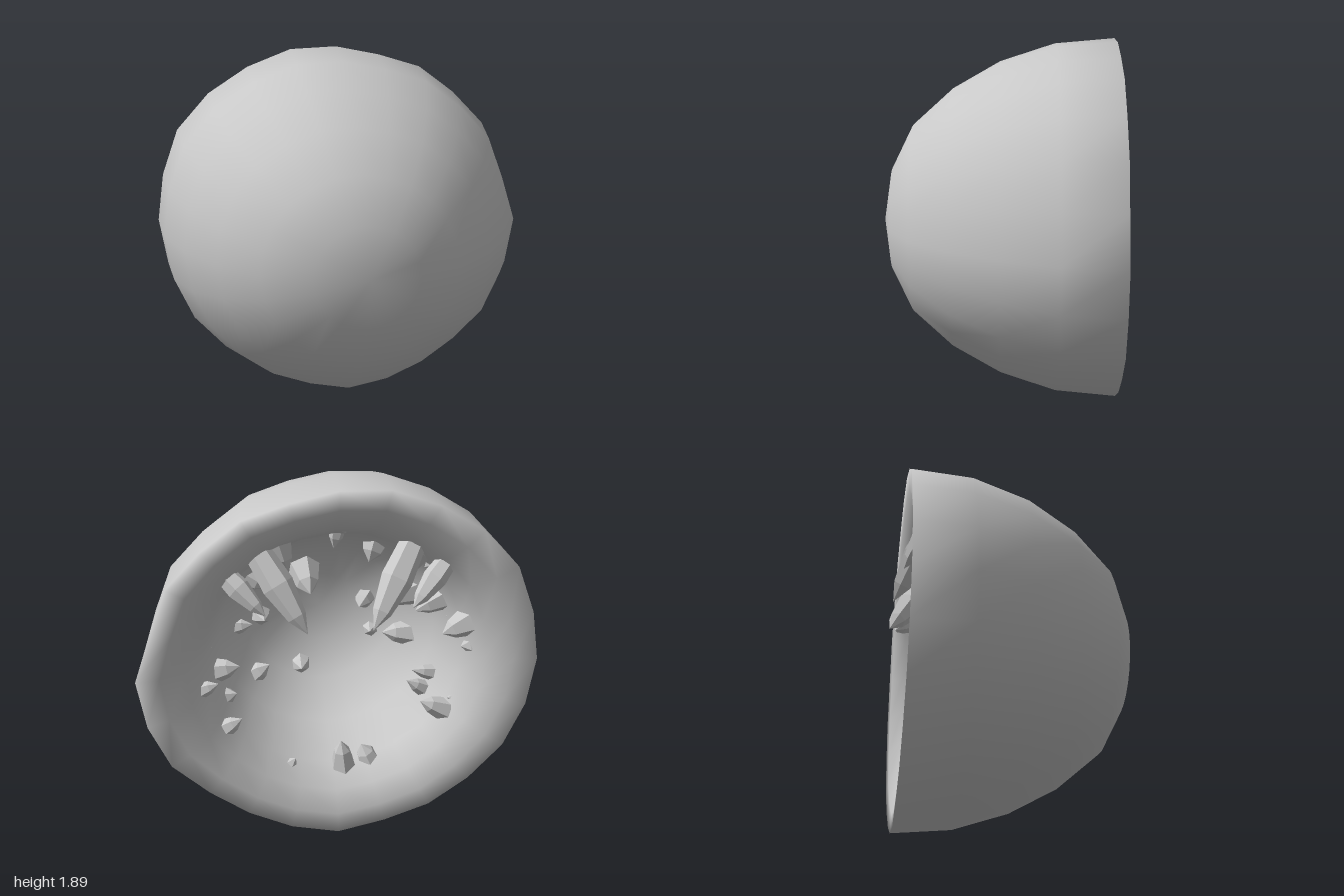
import * as THREE from 'three';

// Uneven outline of the stone, one radius per segment around the z axis
const OUTLINE = [1.0, 0.953, 0.965, 0.94, 0.94, 0.92, 0.94, 0.965, 0.973, 0.995, 1.015, 1.0,
  1.0, 0.99, 0.98, 0.955, 0.945, 0.93, 0.95, 0.93, 0.92, 0.93, 0.975, 0.987];

// [radius factor, z, share of the uneven outline, sideways shift]: dome, rim, then cavity
const PROFILE = [
  [0, 0.63, 0, -0.02], [0.28, 0.59, 0.3, -0.03], [0.52, 0.48, 0.5, -0.04], [0.72, 0.27, 0.7, -0.035],
  [0.87, 0.02, 0.8, -0.03], [0.97, -0.27, 0.9, -0.015], [1, -0.585, 1, 0],
  [0.89, -0.578, 0.8, 0], [0.77, -0.52, 0.6, 0], [0.68, -0.38, 0.4, 0], [0.58, -0.12, 0.3, 0],
  [0.41, 0.08, 0.2, 0], [0.2, 0.16, 0, 0], [0, 0.18, 0, 0],
];

function seededRandom(seed) {
  return () => {
    seed = (seed * 16807) % 2147483647;
    return seed / 2147483647;
  };
}

// Smooth hollow half stone, swept around the z axis
function shellGeometry() {
  const n = OUTLINE.length, last = PROFILE.length - 1, positions = [], index = [];
  for (const [factor, z, uneven, shift] of PROFILE) {
    for (let j = 0; j < n; j++) {
      const angle = (j / n) * Math.PI * 2;
      const r = factor * THREE.MathUtils.lerp(0.96, OUTLINE[j], uneven);
      positions.push(shift + r * Math.cos(angle), r * Math.sin(angle), z);
    }
  }
  for (let i = 0; i < last; i++) {
    for (let j = 0; j < n; j++) {
      const k = (j + 1) % n;
      const a = i * n + j, b = i * n + k, c = (i + 1) * n + k, d = (i + 1) * n + j;
      if (i < last - 1) index.push(a, d, c);
      if (i > 0) index.push(a, c, b);
    }
  }
  const geometry = new THREE.BufferGeometry();
  geometry.setAttribute('position', new THREE.Float32BufferAttribute(positions, 3));
  geometry.setIndex(index);
  geometry.computeVertexNormals();
  // Even shading at the front of the dome and the bottom of the cavity
  for (let j = 0; j < n; j++) {
    geometry.attributes.normal.setXYZ(j, 0, 0, 1);
    geometry.attributes.normal.setXYZ(last * n + j, 0, 0, -1);
  }
  return geometry;
}

// Faceted unit crystal along +y with a pointed tip
function crystalGeometry() {
  const profile = [[0, 0], [0.75, 0], [1, 0.5], [0.6, 0.82], [0, 1]].map(([x, y]) => new THREE.Vector2(x, y));
  const geometry = new THREE.LatheGeometry(profile, 6).toNonIndexed();
  geometry.computeVertexNormals();
  return geometry;
}

export function createModel() {
  const model = new THREE.Group();
  model.name = 'geode';
  const stone = new THREE.MeshStandardMaterial({ color: 0xc8c8c8 });
  stone.name = 'grey stone';

  const body = new THREE.Group();
  body.name = 'halfStone';
  body.position.y = 0.95;
  model.add(body);

  const shell = new THREE.Mesh(shellGeometry(), stone);
  shell.name = 'shell';
  body.add(shell);

  const geometry = crystalGeometry();
  const up = new THREE.Vector3(0, 1, 0);
  const addCrystal = (base, tip, radius) => {
    const along = tip.clone().sub(base);
    const crystal = new THREE.Mesh(geometry, stone);
    crystal.name = 'crystal';
    crystal.position.copy(base);
    crystal.quaternion.setFromUnitVectors(up, along.clone().normalize());
    crystal.scale.set(radius, along.length(), radius);
    body.add(crystal);
  };

  // Rows of crystals rooted in the wall: [count, base radius, base z, tip radius, tip z, thickness]
  const random = seededRandom(41);
  const rows = [
    [20, 0.86, -0.36, 0.6, -0.38, 0.07],
    [17, 0.81, -0.16, 0.55, -0.22, 0.07],
    [11, 0.68, 0.06, 0.42, -0.04, 0.075],
    [5, 0.36, 0.34, 0.24, 0.02, 0.08],
  ];
  rows.forEach(([count, baseR, baseZ, tipR, tipZ, thick], row) => {
    for (let i = 0; i < count; i++) {
      const angle = ((i + row * 0.4 + (random() - 0.5) * 0.6) / count) * Math.PI * 2;
      const tipAngle = angle + (random() - 0.5) * 0.2;
      const r = tipR + (random() - 0.5) * 0.2;
      addCrystal(
        new THREE.Vector3(baseR * Math.cos(angle), baseR * Math.sin(angle), baseZ),
        new THREE.Vector3(r * Math.cos(tipAngle), r * Math.sin(tipAngle), tipZ + (random() - 0.5) * 0.1),
        thick * (0.75 + random() * 0.5));
    }
  });

  // Long upper crystals whose tips reach just past the rim
  for (const side of [-1, 1]) {
    addCrystal(new THREE.Vector3(side * 0.42, 0.66, -0.4), new THREE.Vector3(side * 0.16, 0.23, -0.63), 0.08);
    addCrystal(new THREE.Vector3(side * 0.6, 0.55, -0.42), new THREE.Vector3(side * 0.36, 0.32, -0.59), 0.06);
  }
  return model;
}
